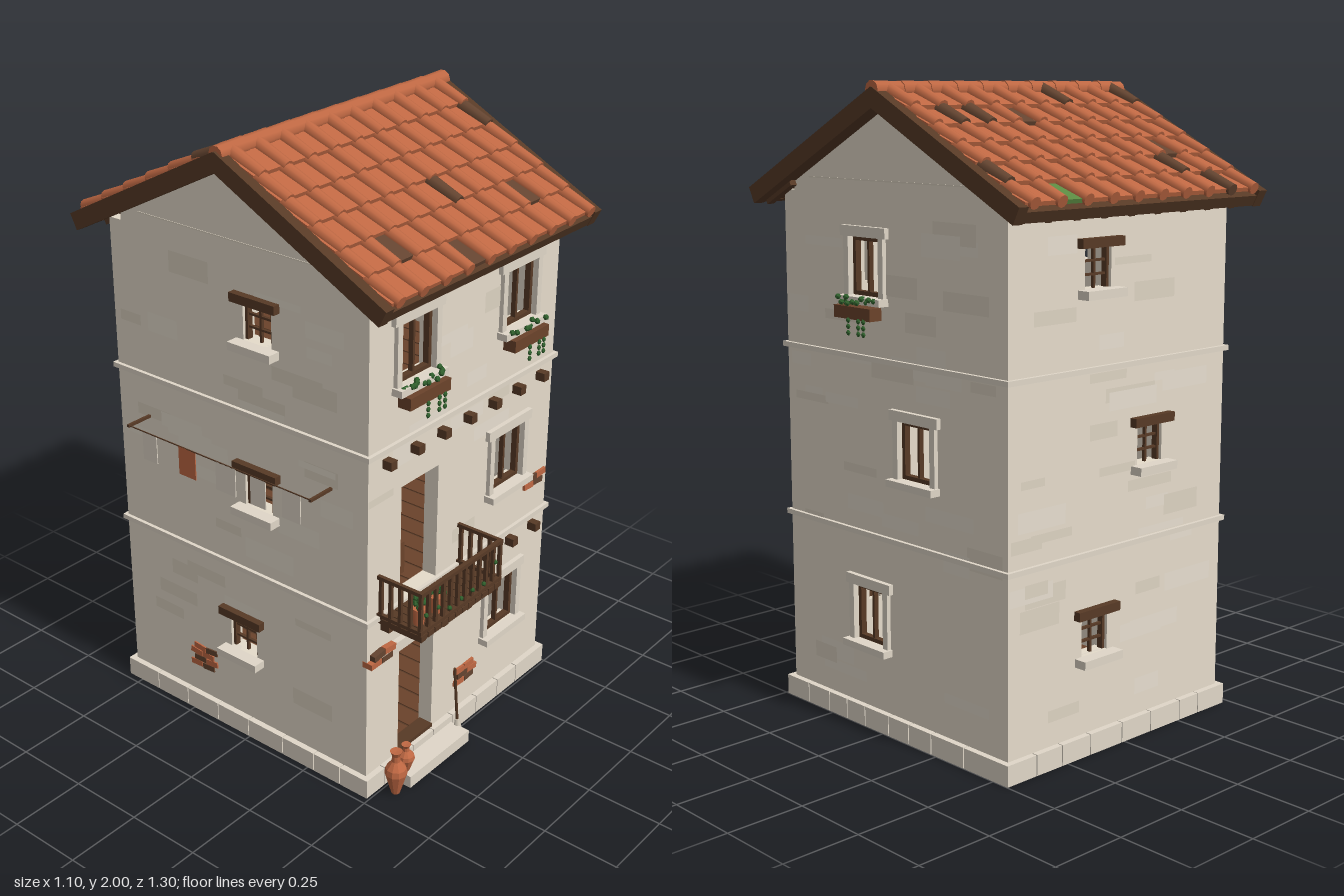
import * as THREE from 'three';

const mat = (name, color) => {
  const m = new THREE.MeshStandardMaterial({ color });
  m.name = name;
  return m;
};

export function createModel() {
  const stucco = mat('stucco', 0xe6dccb), pale = mat('paleStucco', 0xebe2d3), worn = mat('wornStucco', 0xddd3c2);
  const stone = mat('stone', 0xe0d7c8), clay = mat('terracotta', 0xbf6843), burnt = mat('burntTile', 0x644430);
  const dark = mat('darkWood', 0x573a26), wood = mat('wood', 0x6b432b);
  const leaf = mat('leaf', 0x2f5f2c), moss = mat('mossyTile', 0x5b8a42);

  const house = new THREE.Group();
  house.name = 'townHouse';
  let seed = 7;
  const rnd = () => (seed = (seed * 16807) % 2147483647) / 2147483647;
  const add = (parent, name, geo, m, x = 0, y = 0, z = 0) => {
    const mesh = new THREE.Mesh(geo, m);
    mesh.name = name;
    mesh.position.set(x, y, z);
    parent.add(mesh);
    return mesh;
  };
  const box = (parent, name, m, w, h, d, x, y, z) => add(parent, name, new THREE.BoxGeometry(w, h, d), m, x, y, z);
  const group = (parent, name, x = 0, y = 0, z = 0, ry = 0) => {
    const g = new THREE.Group();
    g.name = name;
    g.position.set(x, y, z);
    g.rotation.y = ry;
    parent.add(g);
    return g;
  };

  // Main sizes
  const X0 = -0.458, X1 = 0.479, Z0 = -0.54, Z1 = 0.472, T = 0.05;
  const ridgeZ = -0.034, slope = 0.514, apex = 1.925;
  const under = z => apex - slope * Math.abs(z - ridgeZ);

  // One wall with openings, plinth blocks, floor bands and plaster patches.
  // Local x runs along the wall, local z points outward; opening = [centre, bottom, width, height]
  function wall(name, x, z, ry, a, b, inset, gablePeak, openings) {
    const g = group(house, name, x, 0, z, ry), p = a + inset, q = b - inset;
    const top = under(Z1) + inset * slope;
    const s = new THREE.Shape([[p, 0.03], [q, 0.03], [q, top], ...(gablePeak === null ? [] : [[gablePeak, apex]]), [p, top]]
      .map(c => new THREE.Vector2(...c)));
    for (const [u, v, w, h] of openings) {
      s.holes.push(new THREE.Path([[-1, 0], [-1, 1], [1, 1], [1, 0]].map(c => new THREE.Vector2(u + c[0] * w / 2, v + c[1] * h))));
    }
    add(g, 'wallPanel', new THREE.ExtrudeGeometry(s, { depth: T, bevelEnabled: false }), stucco, 0, 0, -T);
    for (const y of [0.625, 1.175]) box(g, 'floorBand', stone, b - a + 0.024, 0.016, 0.012, (a + b) / 2, y, 0.006);
    if (gablePeak !== null) box(g, 'gableSeam', worn, 0.76, 0.004, 0.004, gablePeak, 1.708, 0);
    // plinth blocks of uneven length
    for (let u = a - 0.02; u < b + 0.019;) {
      let w = 0.09 + rnd() * 0.06;
      if (u + w > b - 0.05) w = b + 0.02 - u;
      box(g, 'plinthBlock', stone, w - 0.003, 0.065, 0.045, u + w / 2, 0.0325, -0.0025);
      u += w;
    }
    // faint plaster patches that keep clear of openings
    for (let i = 0; i < 34; i++) {
      const w = 0.08 + rnd() * 0.14, h = 0.02 + rnd() * 0.05;
      const u = a + w / 2 + rnd() * (b - a - w), v = 0.11 + rnd() * 1.48;
      const m = rnd() > 0.45 ? pale : worn;
      if (openings.some(o => Math.abs(u - o[0]) < (w + o[2]) / 2 + 0.005 && v + h > o[1] && v - h < o[1] + o[3])) continue;
      add(g, 'plasterPatch', new THREE.PlaneGeometry(w, h), m, u, v, 0.0005 + i * 0.00002);
    }
    return g;
  }

  // Stone-framed window with a wooden casement
  function stoneWindow(g, [u, v, w, h]) {
    const k = group(g, 'stoneWindow', u, v, 0);
    box(k, 'header', stone, w + 0.07, 0.032, 0.02, 0, h + 0.016, 0.006);
    box(k, 'sill', stone, w + 0.06, 0.022, 0.045, 0, -0.011, 0.014);
    for (const s of [-1, 1]) {
      box(k, 'jamb', stone, 0.022, h, 0.018, s * (w / 2 + 0.011), h / 2, 0.005);
      box(k, 'casementSide', dark, 0.013, h, 0.02, s * (w / 2 - 0.0065), h / 2, -0.016);
      box(k, 'casementRail', dark, w, 0.013, 0.02, 0, h / 2 + s * (h / 2 - 0.0065), -0.016);
    }
    box(k, 'mullion', dark, 0.009, h, 0.016, 0, h / 2, -0.016);
  }

  // Small barred window with a timber lintel
  function barredWindow(g, [u, v, w, h]) {
    const k = group(g, 'barredWindow', u, v, 0);
    box(k, 'lintel', dark, 0.175, 0.028, 0.04, 0, h + 0.014, 0.004);
    box(k, 'sill', stone, 0.165, 0.026, 0.06, 0, -0.013, 0.012);
    for (const s of [-1, 1]) {
      box(k, 'frameSide', dark, 0.01, h, 0.02, s * (w / 2 - 0.005), h / 2, -0.02);
      box(k, 'crossBar', dark, w, 0.007, 0.01, 0, h / 2 + s * h / 6, -0.02);
    }
    box(k, 'uprightBar', dark, 0.008, h, 0.01, 0, h / 2, -0.02);
  }

  const tuft = new THREE.IcosahedronGeometry(0.01, 0);
  // Planter with foliage and trailing vines
  function flowerBox(g, u, w) {
    const k = group(g, 'flowerBox', u, 1.316, 0.034);
    box(k, 'planter', wood, w, 0.038, 0.045, 0, 0, 0);
    for (let i = 0; i < 14; i++) add(k, 'foliage', tuft, leaf, (i / 13 - 0.5) * w * 0.92, 0.026 + rnd() * 0.02, (rnd() - 0.5) * 0.03);
    for (const f of [-0.08, 0.2, 0.34])
      for (let j = 0; j < 3; j++) add(k, 'vine', tuft, leaf, f * w, -0.022 - j * 0.019, 0.025).scale.set(0.8, 0.95, 0.6);
  }

  // Exposed brick patch
  function bricks(g, u, v, n, depth) {
    const k = group(g, 'exposedBricks', u, v, 0.002);
    for (let r = 0; r < n; r++)
      for (let c = 0; c < 2; c++) {
        const b = box(k, 'brick', (r + c) % 3 === 1 ? burnt : clay, 0.05, 0.02, depth, (c - 0.5) * 0.052 + (r % 2) * 0.016 - 0.008, (r - (n - 1) / 2) * 0.022, 0);
        b.rotation.z = (rnd() - 0.5) * 0.2;
      }
  }

  // Front wall
  const door = [-0.212, 0.065, 0.175, 0.4], balconyDoor = [-0.212, 0.633, 0.18, 0.387];
  const frontWin = [[-0.246, 1.357, 0.16, 0.19], [0.267, 1.357, 0.16, 0.19], [0.237, 0.808, 0.162, 0.195], [0.237, 0.275, 0.162, 0.187]];
  const front = wall('frontWall', 0, Z1, 0, X0, X1, 0, null, [door, balconyDoor, ...frontWin]);
  frontWin.forEach(o => stoneWindow(front, o));
  flowerBox(front, -0.246, 0.19);
  flowerBox(front, 0.267, 0.18);
  box(front, 'doorLintel', stone, 0.364, 0.036, 0.025, -0.248, 0.484, 0.006);
  box(front, 'doorStep', stone, 0.31, 0.042, 0.075, -0.195, 0.021, 0.055);
  box(front, 'threshold', dark, 0.175, 0.016, 0.05, -0.212, 0.07, -0.02);
  for (const y of [0.587, 1.133])
    for (let i = 0; i < 7; i++) box(front, 'beamEnd', dark, 0.028, 0.028, 0.05, -0.38 + i * 0.13, y, 0.008);
  bricks(front, 0.05, 0.187, 3, 0.014);
  bricks(front, 0.405, 0.755, 2, 0.014);
  bricks(front, -0.4, 0.488, 2, 0.036);

  // Right-hand side wall in x+
  const sideWin = [[-0.072, 1.362, 0.14, 0.178], [0.15, 0.825, 0.145, 0.178], [-0.072, 0.275, 0.14, 0.178]];
  const sideA = wall('gableWallWithStoneWindows', X1, 0, Math.PI / 2, -Z1, -Z0, T, -ridgeZ, sideWin);
  sideWin.forEach(o => stoneWindow(sideA, o));
  flowerBox(sideA, -0.076, 0.17);

  // Opposite side wall and back wall
  const barred = (u, v) => [u, v - 0.06, 0.11, 0.12];
  const sideBWin = [barred(0.058, 1.47), barred(0.05, 0.92), barred(-0.03, 0.37)];
  const sideB = wall('gableWallWithBarredWindows', X0, 0, -Math.PI / 2, Z0, Z1, T, ridgeZ, sideBWin);
  sideBWin.forEach(o => barredWindow(sideB, o));
  bricks(sideB, -0.21, 0.21, 4, 0.006);
  const backWin = [barred(-0.12, 1.47), barred(0.115, 0.92), barred(-0.12, 0.37)];
  const back = wall('backWall', 0, Z0, Math.PI, -X1, -X0, 0, null, backWin);
  backWin.forEach(o => barredWindow(back, o));

  // Washing line
  const line = group(sideB, 'washingLine', 0, 1.033, 0);
  for (const u of [-0.41, 0.335]) box(line, 'linePole', dark, 0.009, 0.009, 0.1, u, 0, 0.045);
  box(line, 'cord', dark, 0.745, 0.003, 0.003, -0.037, 0, 0.09);
  [[-0.32, 0.06], [-0.16, 0.07], [0, 0.08], [0.13, 0.06], [0.26, 0.07]].forEach(([u, w], i) =>
    box(line, 'laundry', i === 1 ? clay : stone, w, 0.095, 0.003, u, -0.0475, 0.09));

  // Inside floors with plank gaps, and the underside
  const midX = (X0 + X1) / 2, W = X1 - X0, D = Z1 - Z0, midZ = (Z0 + Z1) / 2;
  box(house, 'underside', dark, W - 0.03, 0.055, D - 0.03, midX, 0.03, midZ);
  for (const y of [0.062, 0.612, 1.16]) {
    box(house, 'floorBoards', dark, W - 2 * T, 0.018, D - 2 * T, midX, y, midZ);
    for (let i = 0; i < 11; i++) box(house, 'floorPlank', wood, 0.068, 0.004, D - 2 * T, midX + (i - 5) * 0.076, y + 0.01, midZ);
  }
  box(house, 'chest', wood, 0.135, 0.11, 0.09, -0.222, 0.68, 0.33);

  // Balcony
  const bal = group(house, 'balcony', -0.208, 0.605, Z1);
  for (let i = 0; i < 12; i++) box(bal, 'deckPlank', dark, 0.031, 0.018, 0.165, (i - 5.5) * 0.034, 0.011, 0.0825);
  for (const x of [-0.17, -0.06, 0.06, 0.17]) box(bal, 'bracket', dark, 0.024, 0.022, 0.15, x, -0.007, 0.075);
  for (const y of [0.03, 0.16]) {
    box(bal, 'frontRail', dark, 0.41, 0.012, 0.014, 0, y, 0.158);
    for (const s of [-1, 1]) box(bal, 'sideRail', dark, 0.012, 0.012, 0.16, s * 0.199, y, 0.08);
  }
  for (let i = 0; i < 12; i++) box(bal, 'baluster', dark, 0.011, 0.14, 0.011, -0.199 + i * 0.0362, 0.09, 0.158);
  for (const s of [-1, 1])
    for (let i = 0; i < 4; i++) box(bal, 'sideBaluster', dark, 0.011, 0.14, 0.011, s * 0.199, 0.09, 0.012 + i * 0.036);
  for (const x of [-0.15, -0.065]) {
    add(bal, 'flowerPot', new THREE.CylinderGeometry(0.022, 0.016, 0.055, 10), clay, x, 0.048, 0.115);
    for (let i = 0; i < 9; i++) add(bal, 'potPlant', tuft, leaf, x + (rnd() - 0.5) * 0.045, 0.075 + rnd() * 0.03, 0.115 + (rnd() - 0.5) * 0.04);
  }
  for (let i = 0; i < 7; i++) add(bal, 'railVine', tuft, leaf, -0.18 + i * 0.058, 0.05 + rnd() * 0.09, 0.164).scale.setScalar(0.8);

  // Faceted jars and a broom by the door
  const jar = new THREE.LatheGeometry([[0, 0], [0.014, 0], [0.02, 0.02], [0.036, 0.075], [0.033, 0.095], [0.014, 0.12], [0.013, 0.14], [0.02, 0.157], [0, 0.155]]
    .map(p => new THREE.Vector2(...p)), 10).toNonIndexed();
  jar.computeVertexNormals();
  add(house, 'tallJar', jar, clay, -0.394, 0, 0.54);
  add(house, 'smallJar', jar, clay, -0.33, 0.042, 0.53).scale.set(0.78, 0.63, 0.78);
  const broom = group(house, 'broom', -0.048, 0.15, 0.515);
  broom.rotation.z = 0.11;
  add(broom, 'broomHandle', new THREE.CylinderGeometry(0.005, 0.005, 0.25, 6), dark);
  add(broom, 'broomHead', new THREE.CylinderGeometry(0.008, 0.018, 0.06, 6), worn, 0, -0.115, 0);

  // Roof: each slope is built flat with z running down from the ridge, then tilted
  const ang = Math.atan(slope), L = 0.61 / Math.cos(ang), step = 0.109, col = 0.1041, first = -0.457;
  const coverGeo = new THREE.CylinderGeometry(0.019, 0.0235, step + 0.024, 10).rotateX(Math.PI / 2);
  function roofSlope(name, s, burntPans, burntCovers) {
    const g = group(house, name, 0, apex + 0.053, ridgeZ, s > 0 ? 0 : Math.PI);
    const t = group(g, 'tiltedSlope');
    t.rotation.x = ang;
    box(t, 'deck', dark, 1.0, 0.028, L - 0.01, s * 0.011, -0.034, L / 2);
    for (const x of [-0.502, 0.522]) box(t, 'bargeBoard', dark, 0.036, 0.055, L, s * x, -0.024, L / 2);
    box(t, 'fascia', dark, 1.0, 0.035, 0.02, s * 0.011, -0.032, L - 0.012);
    for (let i = 0; i < 9; i++) box(t, 'rafterTail', dark, 0.024, 0.022, 0.14, s * (-0.41 + i * 0.113), -0.054, L - 0.09);
    for (let r = 0; r < 6; r++) {
      for (let c = 0; c < 9; c++) {
        const key = c + ',' + r, l = c === 0 ? 0.03 : 0, e = c === 8 ? 0.03 : 0;
        const m = s < 0 && key === '7,5' ? moss : burntPans.includes(key) ? burnt : clay;
        const x = first + (c + 0.5) * col + (e - l) / 2;
        box(t, 'panTile', m, col - 0.002 + l + e, 0.013, step + 0.02, s * x, -0.004, (r + 0.5) * step + 0.01).rotation.x = -0.12;
      }
      for (let c = 0; c < 10; c++) {
        const m = burntCovers.includes(c + ',' + r) ? burnt : clay;
        add(t, 'coverTile', coverGeo, m, s * (first + c * col), 0.004, (r + 0.5) * step + 0.017).rotation.x = -0.11;
      }
    }
  }
  roofSlope('frontRoof', 1, ['1,4', '3,5', '7,4'], ['5,3', '9,1']);
  roofSlope('backRoof', -1, ['1,3', '5,1'], ['1,5', '2,4', '9,4', '0,0', '3,0', '7,1', '8,1']);

  // Ridge tiles
  const ridgeGeo = new THREE.CylinderGeometry(0.026, 0.029, 0.112, 10).rotateZ(Math.PI / 2);
  for (let i = 0; i < 10; i++) add(house, 'ridgeTile', ridgeGeo, clay, -0.455 + i * 0.104, 1.971, ridgeZ);

  return house;
}
